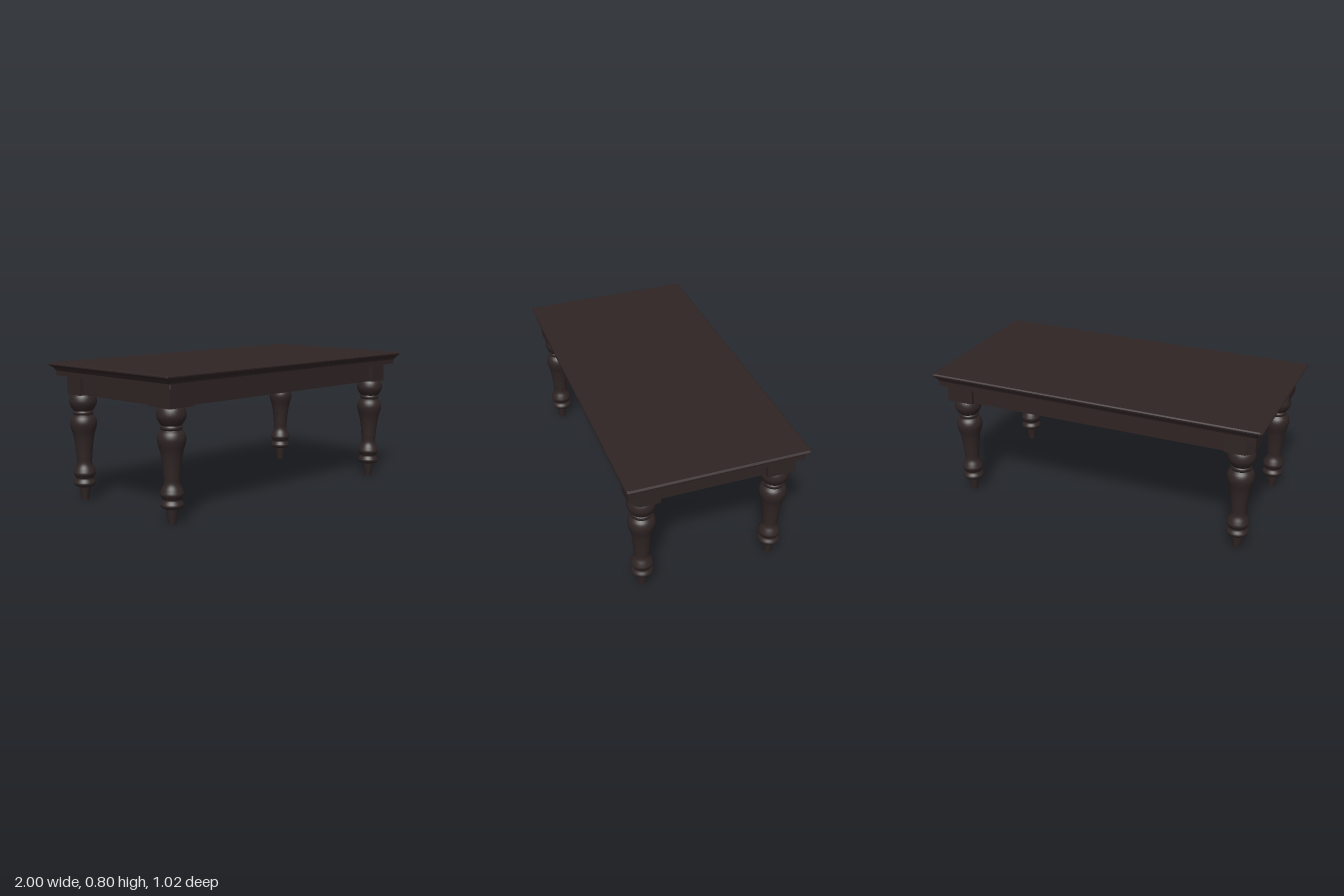
import * as THREE from 'three';

const wood = new THREE.MeshStandardMaterial({ color: 0x2f2424 });
wood.name = 'dark wood';

function add(parent, name, geometry, x = 0, y = 0, z = 0) {
  const mesh = new THREE.Mesh(geometry, wood);
  mesh.name = name;
  mesh.position.set(x, y, z);
  parent.add(mesh);
  return mesh;
}

// Rectangular slab with nipped corners, lofted through [y, halfX, halfZ] levels
function loftSlab(levels, nip) {
  const rings = levels.map(([y, a, b]) => [
    [a, b - nip], [a, nip - b], [a - nip, -b], [nip - a, -b],
    [-a, nip - b], [-a, b - nip], [nip - a, b], [a - nip, b],
  ].map(([x, z]) => [x, y, z]));
  const pos = [];
  const tri = (...corners) => corners.forEach((c) => pos.push(...c));
  for (let i = 0; i < rings.length - 1; i++) {
    const lo = rings[i], hi = rings[i + 1];
    for (let j = 0; j < 8; j++) {
      const k = (j + 1) % 8;
      tri(lo[j], lo[k], hi[k]);
      tri(lo[j], hi[k], hi[j]);
    }
  }
  const bottom = rings[0], top = rings[rings.length - 1];
  for (let j = 1; j < 7; j++) {
    tri(top[0], top[j], top[j + 1]);
    tri(bottom[0], bottom[j + 1], bottom[j]);
  }
  const geometry = new THREE.BufferGeometry();
  geometry.setAttribute('position', new THREE.Float32BufferAttribute(pos, 3));
  geometry.computeVertexNormals();
  return geometry;
}

const points = (list) => list.map(([r, y]) => new THREE.Vector2(r, y));

// Turned leg: smooth spline from the lower ring up to the ball
const turning = new THREE.SplineCurve(points([
  [0.034, 0.079], [0.054, 0.086], [0.063, 0.104], [0.05, 0.128], [0.056, 0.142],
  [0.064, 0.16], [0.057, 0.183], [0.044, 0.215], [0.046, 0.26], [0.051, 0.32],
  [0.06, 0.38], [0.073, 0.425], [0.077, 0.455], [0.07, 0.482], [0.055, 0.5],
])).getPoints(70);
const ring = new THREE.SplineCurve(points([
  [0.053, 0.5], [0.058, 0.507], [0.058, 0.517], [0.053, 0.524],
])).getPoints(10);
const ball = new THREE.SplineCurve(points([
  [0.054, 0.524], [0.066, 0.54], [0.077, 0.562], [0.079, 0.582], [0.074, 0.605], [0.064, 0.622],
])).getPoints(24);

// Square block on each leg, with its inner corner cut off
function blockGeometry() {
  const h = 0.081, cut = 0.045;
  const shape = new THREE.Shape(points([[-h, -h], [h, -h], [h, h], [-h, h], [-h, cut - h], [cut - h, -h]].slice(1)));
  const geometry = new THREE.ExtrudeGeometry(shape, { depth: 0.105, bevelEnabled: false });
  return geometry.rotateX(-Math.PI / 2);
}

function makeLeg(x, z) {
  const leg = new THREE.Group();
  leg.name = 'leg';
  leg.position.set(x, 0, z);
  add(leg, 'foot', new THREE.LatheGeometry(points([[0, 0], [0.021, 0]]), 32));
  add(leg, 'footTaper', new THREE.LatheGeometry(points([[0.021, 0], [0.028, 0.045], [0.034, 0.08]]), 32));
  add(leg, 'turnedShaft', new THREE.LatheGeometry(turning, 32));
  add(leg, 'neckRing', new THREE.LatheGeometry(ring, 32));
  add(leg, 'ball', new THREE.LatheGeometry(ball, 32));
  // Turn the cut corner towards the middle of the table
  const block = add(leg, 'legBlock', blockGeometry(), 0, 0.621, 0);
  if (x > 0) block.rotation.y = z < 0 ? 0 : Math.PI / 2;
  else block.rotation.y = z < 0 ? -Math.PI / 2 : Math.PI;
  // The cut starts at local -x, +z
  return leg;
}

export function createModel() {
  const table = new THREE.Group();
  table.name = 'table';

  // Top with a moulded edge
  add(table, 'tableTop', loftSlab([
    [0.725, 0.963, 0.491], [0.752, 0.963, 0.491], [0.758, 0.968, 0.493], [0.768, 0.974, 0.499],
    [0.78, 0.991, 0.507], [0.786, 1, 0.51], [0.792, 1, 0.51], [0.798, 0.988, 0.503],
  ], 0.008));

  // Aprons between the leg blocks
  const y = 0.675, height = 0.104, thick = 0.03;
  for (const side of [1, -1]) {
    add(table, 'longApron', new THREE.BoxGeometry(1.62, height, thick), -0.008, y, side * 0.425);
    add(table, 'shortApron', new THREE.BoxGeometry(thick, height, 0.72), side * 0.892 - 0.008, y, 0);
  }

  // Four turned legs
  for (const [x, z] of [[-0.862, 0.386], [0.845, 0.386], [-0.862, -0.37], [0.845, -0.379]]) {
    table.add(makeLeg(x, z));
  }
  return table;
}
